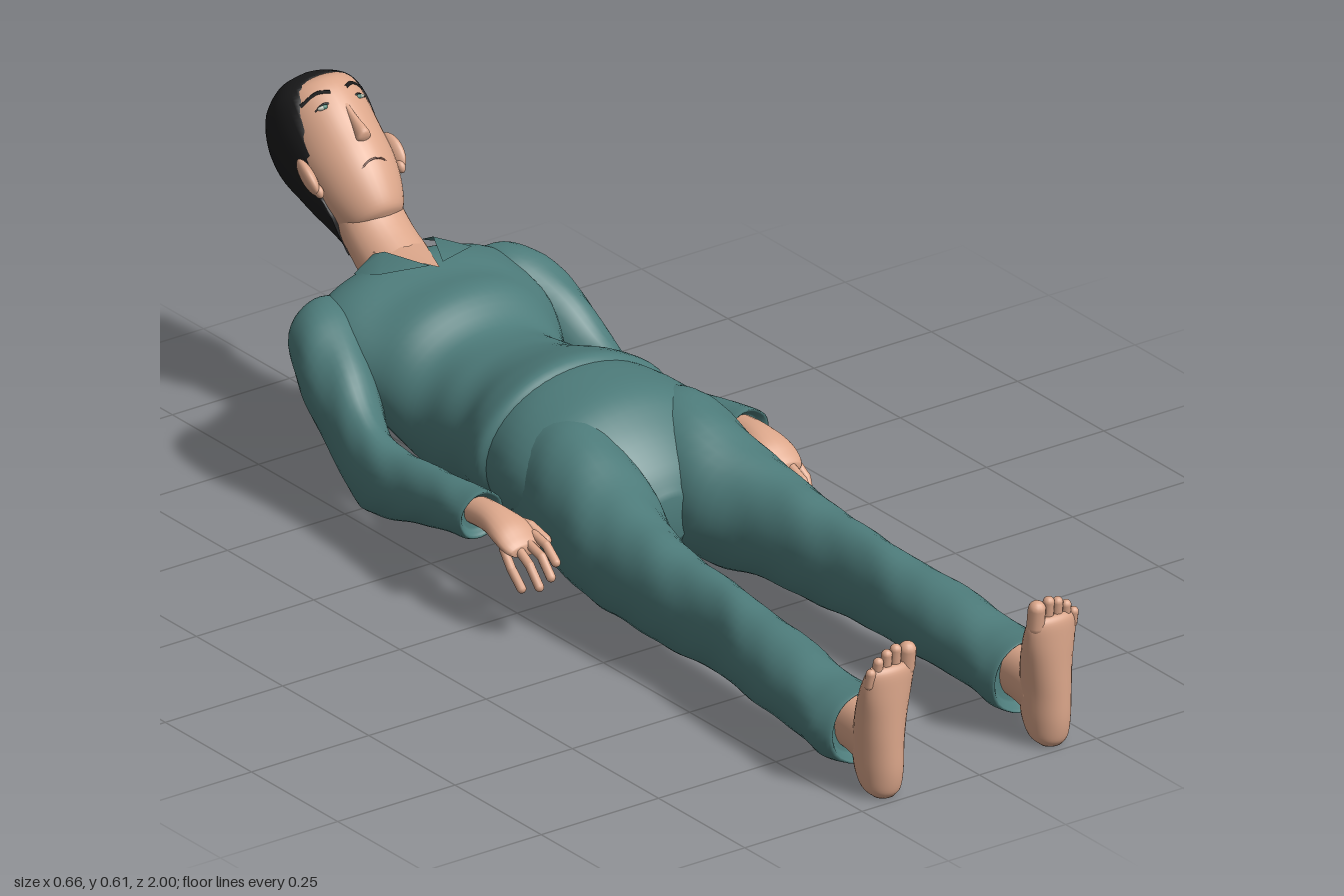
import * as THREE from 'three';

const mat = (name, color, side = THREE.FrontSide) => {
  const m = new THREE.MeshStandardMaterial({ color, side });
  m.name = name;
  return m;
};
const skin = mat('skin', 0xdba68a);
const cloth = mat('teal cloth', 0x4d7b7a, THREE.DoubleSide);
const hair = mat('black hair', 0x1b1b1c);
const lip = mat('lip line', 0x7d5548);
const eyeWhite = mat('eye white', 0xb9bdb0);
const iris = mat('green iris', 0x4b7d70);

function add(parent, name, geometry, material) {
  const mesh = new THREE.Mesh(geometry, material);
  mesh.name = name;
  parent.add(mesh);
  return mesh;
}

// Smooth closed loft. Sections are [t, cx, c, rx, r] in rising t;
// axis 'z' puts rings in the xy plane, axis 'y' in the xz plane.
function loft(sections, { axis = 'z', fold = 0, seg = 32, sub = 5, clamp } = {}) {
  const mid = new THREE.CatmullRomCurve3(sections.map(s => new THREE.Vector3(s[0], s[1], s[2])), false, 'catmullrom');
  const rad = new THREE.CatmullRomCurve3(sections.map(s => new THREE.Vector3(s[3], s[4], 0)), false, 'catmullrom');
  const rows = (sections.length - 1) * sub, pos = [], index = [];
  const put = (t, x, c) => axis === 'z' ? pos.push(x, c, t) : pos.push(x, t, c);
  for (let i = 0; i <= rows; i++) {
    const m = mid.getPoint(i / rows), r = rad.getPoint(i / rows);
    for (let j = 0; j < seg; j++) {
      const a = j / seg * Math.PI * 2;
      // soft diagonal cloth folds
      const k = 1 + fold * (Math.sin(m.x * 27 + 2.5 * Math.sin(a + 1)) + 0.6 * Math.sin(m.x * 55 - 3 * Math.cos(a * 2) + a));
      const x = m.y + Math.cos(a) * r.x * k;
      let c = m.z + (axis === 'z' ? 1 : -1) * Math.sin(a) * r.y * k;
      if (clamp) c = Math.min(c, clamp(m.x));
      put(m.x, x, c);
    }
  }
  for (let i = 0; i < rows; i++) for (let j = 0; j < seg; j++) {
    const a = i * seg + j, b = i * seg + (j + 1) % seg;
    index.push(a, b, a + seg, b, b + seg, a + seg);
  }
  const first = sections[0], last = sections.at(-1), n = pos.length / 3;
  put(first[0], first[1], first[2]);
  put(last[0], last[1], last[2]);
  for (let j = 0; j < seg; j++) {
    const k = (j + 1) % seg;
    index.push(n, k, j, n + 1, rows * seg + j, rows * seg + k);
  }
  return finish(pos, index);
}

function finish(pos, index) {
  const g = new THREE.BufferGeometry();
  g.setAttribute('position', new THREE.Float32BufferAttribute(pos, 3));
  g.setIndex(index);
  g.computeVertexNormals();
  return g;
}

// Rounded limb segments through a list of points
function digit(parent, name, points, radius) {
  const group = new THREE.Group();
  group.name = name;
  for (let i = 1; i < points.length; i++) {
    const a = new THREE.Vector3(...points[i - 1]), b = new THREE.Vector3(...points[i]);
    const d = b.clone().sub(a);
    const m = add(group, name + 'Segment', new THREE.CapsuleGeometry(radius, d.length(), 5, 12), skin);
    m.position.copy(a).add(b).multiplyScalar(0.5);
    m.quaternion.setFromUnitVectors(new THREE.Vector3(0, 1, 0), d.normalize());
  }
  parent.add(group);
}

function ball(parent, name, material, p, s) {
  const m = add(parent, name, new THREE.SphereGeometry(1, 20, 14), material);
  m.position.set(...p);
  m.scale.set(...s);
  return m;
}

function buildHead() {
  const head = new THREE.Group();
  head.name = 'head';
  // [height, front, back, half width] -> loft section
  const sec = ([u, f, b, w]) => [u, 0, (f + b) / 2, w, (f - b) / 2];
  add(head, 'skull', loft([
    [-0.16, 0.035, -0.05, 0.035], [-0.145, 0.056, -0.07, 0.056], [-0.1, 0.07, -0.085, 0.073],
    [-0.05, 0.076, -0.095, 0.081], [0, 0.074, -0.12, 0.085], [0.05, 0.072, -0.127, 0.086],
    [0.09, 0.064, -0.105, 0.081], [0.113, 0.045, -0.08, 0.067], [0.13, 0, -0.045, 0.03]
  ].map(sec), { axis: 'y', seg: 40 }), skin);

  // Hair shell cut off along the hairline
  const line = [[-0.18, -0.05], [-0.12, -0.012], [-0.06, 0], [0, 0.022], [0.05, 0.03], [0.085, 0.04], [0.15, 0.04]];
  const hairline = u => {
    let i = 1;
    while (i < line.length - 1 && u > line[i][0]) i++;
    const [a, b] = [line[i - 1], line[i]];
    return THREE.MathUtils.lerp(a[1], b[1], THREE.MathUtils.clamp((u - a[0]) / (b[0] - a[0]), 0, 1));
  };
  add(head, 'hair', loft([
    [-0.182, 0, -0.066, 0.05], [-0.13, 0.06, -0.085, 0.07], [-0.09, 0.07, -0.105, 0.08],
    [-0.05, 0.07, -0.125, 0.085], [0, 0.07, -0.145, 0.09], [0.05, 0.072, -0.141, 0.092],
    [0.09, 0.064, -0.116, 0.086], [0.113, 0.047, -0.088, 0.072], [0.132, 0.015, -0.05, 0.045], [0.138, 0, -0.035, 0.01]
  ].map(sec), { axis: 'y', seg: 48, fold: 0.005, clamp: hairline }), hair);

  add(head, 'nose', loft([
    [-0.03, 0, 0.068, 0.006, 0.005], [-0.024, 0, 0.073, 0.014, 0.012], [-0.014, 0, 0.073, 0.013, 0.018],
    [0.01, 0, 0.069, 0.009, 0.014], [0.04, 0, 0.064, 0.007, 0.01], [0.07, 0, 0.061, 0.009, 0.005]
  ], { axis: 'y', seg: 20 }), skin);
  const tube = (name, pts, r, m) => add(head, name,
    new THREE.TubeGeometry(new THREE.CatmullRomCurve3(pts.map(p => new THREE.Vector3(...p))), 16, r, 6), m);
  tube('mouth', [[-0.026, -0.073, 0.068], [-0.013, -0.066, 0.074], [0, -0.064, 0.0755], [0.013, -0.066, 0.074], [0.026, -0.073, 0.068]], 0.0018, lip);
  for (const s of [1, -1]) {
    ball(head, 'eyeWhite', eyeWhite, [s * 0.036, 0.053, 0.0585], [0.014, 0.0045, 0.006]);
    ball(head, 'iris', iris, [s * 0.036, 0.053, 0.0615], [0.006, 0.0045, 0.004]);
    tube('eyelid', [[s * 0.02, 0.052, 0.065], [s * 0.036, 0.058, 0.063], [s * 0.053, 0.052, 0.053]], 0.0018, hair);
    tube('eyebrow', [[s * 0.016, 0.074, 0.066], [s * 0.036, 0.081, 0.057], [s * 0.064, 0.073, 0.036]], 0.0038, hair);
    const ear = ball(head, 'ear', skin, [s * 0.09, -0.042, 0.002], [0.012, 0.037, 0.022]);
    ear.rotation.set(-0.15, s * 0.35, 0);
    ball(head, 'earLobe', skin, [s * 0.087, -0.073, 0.008], [0.008, 0.013, 0.01]);
  }
  head.position.set(0, 0.5, -0.855);
  head.rotation.x = -Math.PI / 4;
  return head;
}

// Arm, leg and foot of one side (s = 1 left, -1 right)
function buildSide(s) {
  const side = new THREE.Group();
  side.name = s > 0 ? 'leftLimbs' : 'rightLimbs';
  const flip = rows => rows.map(([t, x, ...rest]) => [t, s * x, ...rest]);

  // Sleeve, ending in a hollow cuff
  add(side, 'sleeve', loft(flip([
    [-0.675, 0.175, 0.29, 0.05, 0.035], [-0.645, 0.19, 0.272, 0.075, 0.065], [-0.58, 0.208, 0.238, 0.079, 0.09],
    [-0.5, 0.233, 0.182, 0.061, 0.092], [-0.43, 0.251, 0.13, 0.05, 0.085], [-0.38, 0.258, 0.12, 0.048, 0.073],
    [-0.3, 0.265, 0.128, 0.047, 0.06], [-0.2, 0.272, 0.147, 0.048, 0.052], [-0.12, 0.279, 0.163, 0.047, 0.047],
    [-0.06, 0.283, 0.172, 0.046, 0.043], [-0.075, 0.282, 0.172, 0.03, 0.028]
  ]), { fold: 0.025 }), cloth);
  add(side, 'palm', loft(flip([
    [-0.1, 0.28, 0.174, 0.027, 0.025], [-0.03, 0.28, 0.178, 0.03, 0.025], [0.02, 0.278, 0.169, 0.04, 0.023],
    [0.05, 0.278, 0.156, 0.039, 0.017], [0.065, 0.278, 0.15, 0.03, 0.01]
  ]), { seg: 20 }), skin);
  const fingers = [
    [[0.247, 0.165, 0.045], [0.247, 0.158, 0.08], [0.25, 0.138, 0.112]],
    [[0.267, 0.158, 0.055], [0.268, 0.148, 0.095], [0.27, 0.12, 0.125]],
    [[0.289, 0.154, 0.055], [0.291, 0.136, 0.092], [0.289, 0.104, 0.117]],
    [[0.309, 0.152, 0.042], [0.314, 0.128, 0.07], [0.307, 0.096, 0.09]]
  ];
  const mirror = pts => pts.map(([x, y, z]) => [s * x, y, z]);
  for (const f of fingers) digit(side, 'finger', mirror(f), 0.0085);
  digit(side, 'thumb', mirror([[0.262, 0.176, -0.015], [0.241, 0.172, 0.025], [0.234, 0.156, 0.06]]), 0.0105);

  // Trouser leg with a loose hollow hem
  add(side, 'trouserLeg', loft(flip([
    [-0.08, 0.11, 0.185, 0.095, 0.122], [0, 0.113, 0.176, 0.108, 0.13], [0.1, 0.122, 0.155, 0.104, 0.119],
    [0.2, 0.144, 0.138, 0.083, 0.1], [0.3, 0.153, 0.13, 0.07, 0.094], [0.4, 0.157, 0.127, 0.058, 0.087],
    [0.5, 0.158, 0.125, 0.054, 0.084], [0.6, 0.166, 0.12, 0.061, 0.079], [0.7, 0.172, 0.113, 0.069, 0.074],
    [0.8, 0.177, 0.104, 0.07, 0.068], [0.86, 0.178, 0.1, 0.078, 0.068], [0.898, 0.173, 0.1, 0.068, 0.067],
    [0.87, 0.174, 0.1, 0.048, 0.052]
  ]), { fold: 0.02 }), cloth);
  add(side, 'ankle', loft(flip([
    [0.82, 0.175, 0.1, 0.036, 0.045], [0.89, 0.176, 0.1, 0.038, 0.05], [0.95, 0.177, 0.09, 0.04, 0.06]
  ]), { seg: 24 }), skin);
  add(side, 'foot', loft(flip([
    [0, 0.178, 0.965, 0.02, 0.018], [0.015, 0.178, 0.957, 0.034, 0.036], [0.05, 0.178, 0.95, 0.04, 0.049],
    [0.1, 0.178, 0.95, 0.042, 0.049], [0.15, 0.176, 0.954, 0.046, 0.044], [0.2, 0.174, 0.964, 0.051, 0.033],
    [0.235, 0.172, 0.973, 0.05, 0.022], [0.25, 0.171, 0.975, 0.04, 0.013]
  ]), { axis: 'y', seg: 28 }), skin);
  for (const [x, y0, y1, r] of [[0.138, 0.235, 0.268, 0.016], [0.163, 0.24, 0.275, 0.0105], [0.182, 0.235, 0.27, 0.01],
    [0.2, 0.23, 0.26, 0.0095], [0.216, 0.22, 0.243, 0.009]])
    digit(side, 'toe', [[s * x, y0, 0.975], [s * x, y1, 0.979]], r);

  // Pointed collar flap lying on the chest
  const c = [[0.05, 0.366, -0.69], [0.108, 0.352, -0.668], [0.098, 0.372, -0.605], [0.014, 0.377, -0.575], [0.052, 0.384, -0.655]];
  add(side, 'collarFlap', finish(mirror(c).flat(),
    s > 0 ? [0, 4, 1, 4, 2, 1, 4, 3, 2] : [0, 1, 4, 4, 1, 2, 4, 2, 3]), cloth);
  return side;
}

export function createModel() {
  const model = new THREE.Group();
  model.name = 'recliningMan';

  // Jacket, sagging at the small of the back, and trouser seat
  add(model, 'jacket', loft([
    [-0.685, 0, 0.3, 0.1, 0.048], [-0.665, 0, 0.295, 0.185, 0.07], [-0.62, 0, 0.275, 0.222, 0.097],
    [-0.55, 0, 0.245, 0.218, 0.119], [-0.48, 0, 0.216, 0.195, 0.14], [-0.41, 0, 0.175, 0.175, 0.14],
    [-0.34, 0, 0.178, 0.171, 0.138], [-0.28, 0, 0.188, 0.178, 0.136], [-0.22, 0, 0.198, 0.2, 0.144],
    [-0.175, 0, 0.2, 0.213, 0.149], [-0.15, 0, 0.2, 0.2, 0.138]
  ], { fold: 0.011, seg: 56 }), cloth);
  add(model, 'trouserSeat', loft([
    [-0.25, 0, 0.2, 0.18, 0.12], [-0.15, 0, 0.2, 0.204, 0.142], [-0.05, 0, 0.195, 0.214, 0.138],
    [0.02, 0, 0.178, 0.195, 0.118], [0.08, 0, 0.16, 0.13, 0.08], [0.11, 0, 0.15, 0.05, 0.04]
  ], { fold: 0.006, seg: 48 }), cloth);

  // Neck, open throat and collar band
  add(model, 'neck', loft([
    [-0.83, 0, 0.42, 0.055, 0.06], [-0.77, 0, 0.39, 0.062, 0.068], [-0.7, 0, 0.335, 0.064, 0.068], [-0.6, 0, 0.28, 0.07, 0.07]
  ], { seg: 28 }), skin);
  add(model, 'throat', finish([-0.052, 0.37, -0.69, 0, 0.374, -0.565, 0.052, 0.37, -0.69, 0, 0.383, -0.65],
    [0, 1, 3, 3, 1, 2]), skin);
  const band = add(model, 'collarBand', new THREE.TorusGeometry(0.068, 0.013, 8, 32, 4.3), cloth);
  band.position.set(0, 0.308, -0.668);
  band.rotation.set(0.35, 0, Math.PI * 1.5 - 2.15);

  model.add(buildSide(1), buildSide(-1), buildHead());
  return model;
}
